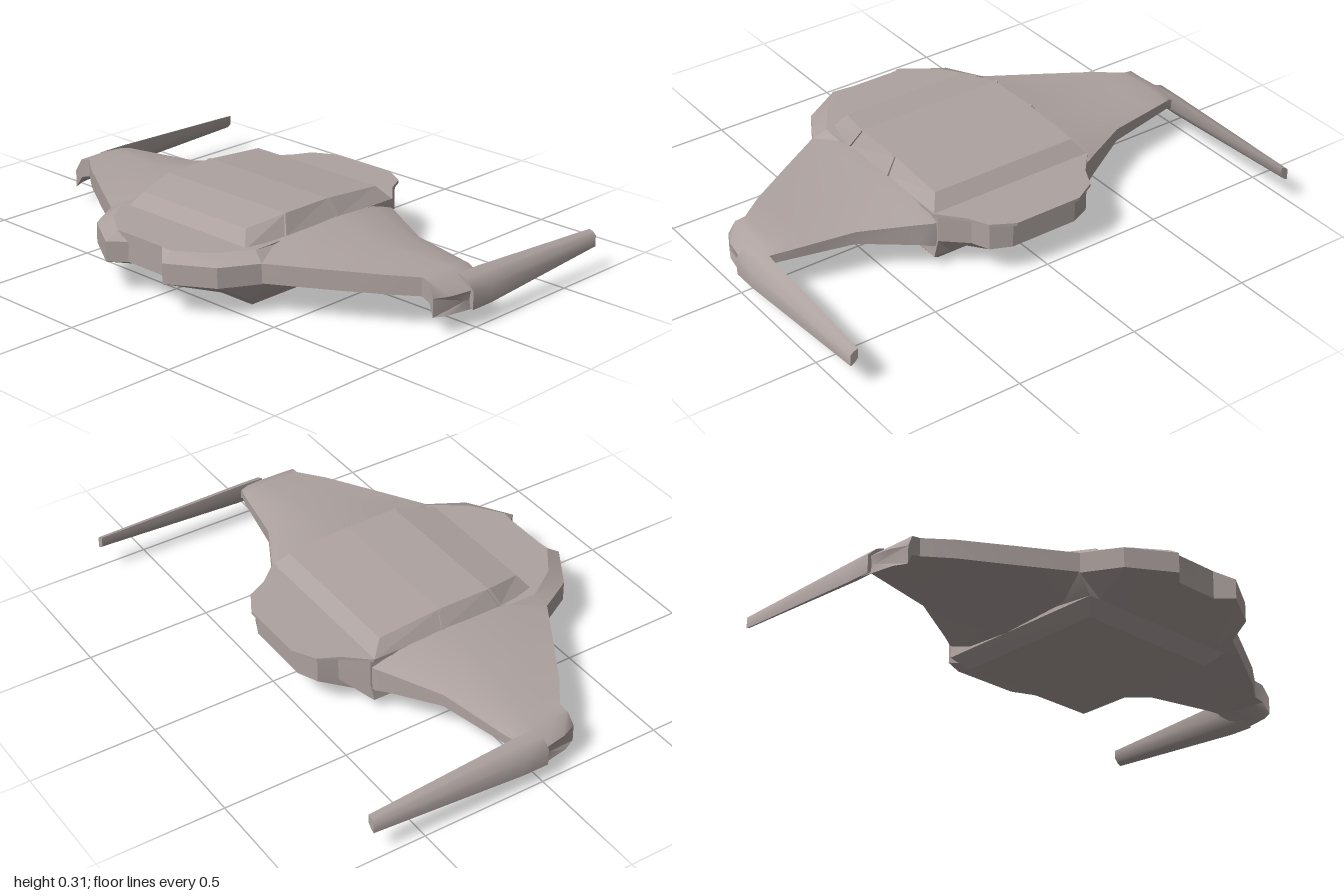
import * as THREE from 'three';
import { toCreasedNormals } from 'three/addons/utils/BufferGeometryUtils.js';

// Skin a list of closed rings of [x, y, z] points, cap both ends, face outward.
function loft(rings, crease = 0.5) {
  const tris = [];
  const n = rings[0].length;
  for (let i = 0; i < rings.length - 1; i++) {
    for (let j = 0; j < n; j++) {
      const k = (j + 1) % n;
      const [a, b, c, d] = [rings[i][j], rings[i][k], rings[i + 1][k], rings[i + 1][j]];
      tris.push([a, b, c], [a, c, d]);
    }
  }
  const cap = (ring, flip) => {
    const mid = [0, 1, 2].map(q => ring.reduce((s, p) => s + p[q], 0) / n);
    ring.forEach((p, j) => {
      const r = ring[(j + 1) % n];
      tris.push(flip ? [mid, r, p] : [mid, p, r]);
    });
  };
  cap(rings[0], true);
  cap(rings[rings.length - 1], false);
  // signed volume decides the winding
  const v = tris.map(t => t.map(p => new THREE.Vector3(...p)));
  const volume = v.reduce((s, [a, b, c]) => s + a.dot(b.clone().cross(c)), 0);
  if (volume < 0) tris.forEach(t => t.reverse());
  const geo = new THREE.BufferGeometry();
  geo.setAttribute('position', new THREE.Float32BufferAttribute(tris.flat(2), 3));
  return toCreasedNormals(geo, crease);
}

// Full horizontal outline from one half given as [x, z] points.
const outline = (half, y) => [
  ...half.map(([x, z]) => [x, y, z]),
  ...half.slice().reverse().map(([x, z]) => [x, y, -z]),
];

const mirrorZ = (rings, s) => rings.map(r => r.map(([x, y, z]) => [x, y, z * s]));

// Wing section: flat trailing wall, domed top, rounded leading edge.
function wingRing([z, te, le, teTop, teBot, top, bot], zAt = () => z) {
  const c = le - te, h = top - bot, mid = (top + bot) / 2;
  return [
    [te, teBot], [te, teTop],
    [te + 0.25 * c, top - 0.3 * (top - teTop)],
    [te + 0.6 * c, top],
    [te + 0.86 * c, top - 0.06 * h],
    [le, mid + 0.25 * h], [le, mid - 0.25 * h],
    [te + 0.86 * c, bot + 0.06 * h],
    [te + 0.6 * c, bot],
    [te + 0.2 * c, bot + 0.3 * (teBot - bot)],
  ].map(([x, y]) => [x, y, zAt(x)]);
}

export function createModel() {
  const group = new THREE.Group();
  const hullGrey = new THREE.MeshStandardMaterial({ color: 0xada29f });
  hullGrey.name = 'hullGrey';
  const add = (name, geo) => {
    const mesh = new THREE.Mesh(geo, hullGrey);
    mesh.name = name;
    group.add(mesh);
  };

  // Central hull: flat keel, flared belly, upright nose wall and twin rear lobes
  const waist = [[0.475, 0.14], [0.44, 0.22], [0.37, 0.25], [0.29, 0.34],
    [-0.46, 0.4], [-0.6, 0.32], [-0.705, 0.15], [-0.65, 0.09]];
  add('hull', loft([
    outline([[0.23, 0.12], [0.23, 0.2], [0.23, 0.26], [0.23, 0.3],
      [-0.41, 0.3], [-0.41, 0.25], [-0.41, 0.15], [-0.41, 0.1]], 0),
    outline([[0.28, 0.13], [0.28, 0.22], [0.28, 0.28], [0.28, 0.35],
      [-0.46, 0.35], [-0.46, 0.3], [-0.46, 0.15], [-0.46, 0.1]], 0.05),
    outline(waist, 0.122),
    outline(waist, 0.2),
    outline([[0.475, 0.14], [0.44, 0.22], [0.37, 0.25], [0.29, 0.34],
      [-0.44, 0.35], [-0.57, 0.26], [-0.655, 0.14], [-0.65, 0.09]], 0.232),
  ], 0.3));

  // Overhanging lip around the nose
  const lip = [[0.5, 0.14], [0.45, 0.23], [0.37, 0.27], [0.28, 0.35], [0.1, 0.35]];
  add('noseLip', loft([outline(lip, 0.226), outline(lip, 0.238)], 0.3));

  // Cabin: sections along x, each with a base and a roof point [x, y, z]
  const cabin = [
    [[-0.455, 0.225, 0.31], [-0.41, 0.283, 0.27]],
    [[-0.28, 0.24, 0.345], [-0.25, 0.31, 0.31]],
    [[-0.02, 0.245, 0.35], [-0.03, 0.31, 0.31]],
    [[0.28, 0.235, 0.35], [0.23, 0.29, 0.31]],
  ];
  add('cabin', loft(cabin.map(([b, t]) =>
    [b, t, [t[0], t[1], -t[2]], [b[0], b[1], -b[2]]]), 0.05));

  // Wing sections: z, trailing x, leading x, trailing top/bottom, top, bottom
  const sections = [
    [0.3, -0.5, 0.29, 0.205, 0.12, 0.25, 0.05],
    [0.355, -0.485, 0.28, 0.205, 0.12, 0.247, 0.05],
    [0.4, -0.46, 0.255, 0.2, 0.125, 0.24, 0.065],
    [0.6, -0.34, 0.15, 0.2, 0.125, 0.213, 0.11],
    [0.78, -0.23, 0.115, 0.2, 0.127, 0.204, 0.12],
    [0.88, -0.155, 0.095, 0.198, 0.127, 0.199, 0.125],
    [0.92, -0.16, 0.08, 0.19, 0.115, 0.192, 0.12],
  ];
  const tip = wingRing([1, -0.17, 0.08, 0.14, 0.07, 0.14, 0.07],
    x => 0.945 + 0.055 * Math.sqrt((x + 0.17) / 0.25));
  const wing = [...sections.map(s => wingRing(s)), tip];

  // Forward prong: slanted section [y, z] tapering to the tip
  const prong = [
    [-0.02, [[0.19, 0.93], [0.175, 0.965], [0.14, 1], [0.07, 1], [0.09, 0.96], [0.13, 0.93]]],
    [0.08, [[0.19, 0.932], [0.175, 0.965], [0.14, 1], [0.07, 1], [0.09, 0.96], [0.13, 0.932]]],
    [0.7, [[0.165, 0.953], [0.16, 0.97], [0.148, 0.984], [0.104, 0.984], [0.112, 0.968], [0.128, 0.953]]],
  ].map(([x, ring]) => ring.map(([y, z]) => [x, y, z]));

  for (const [side, s] of [['left', 1], ['right', -1]]) {
    // model faces +z, so each wing is named by its place along z
    const place = side === 'left' ? 'front' : 'rear';
    add(place + 'Wing', loft(mirrorZ(wing, s), 0.6));
    add(place + 'Prong', loft(mirrorZ(prong, s), 0.95));

    // Window posts on the sloping cabin side
    for (const [b, t] of [cabin[1], cabin[2]]) {
      const post = [b, t].map(([x, y, z]) => [
        [x - 0.007, y, z - 0.004], [x + 0.007, y, z - 0.004],
        [x + 0.007, y + 0.004, z + 0.006], [x - 0.007, y + 0.004, z + 0.006],
      ]);
      post[1] = post[1].map(([x, y, z]) => [x, y - 0.004, z]);
      add(place + 'WindowPost', loft(mirrorZ(post, s), 0.3));
    }
  }
  return group;
}
